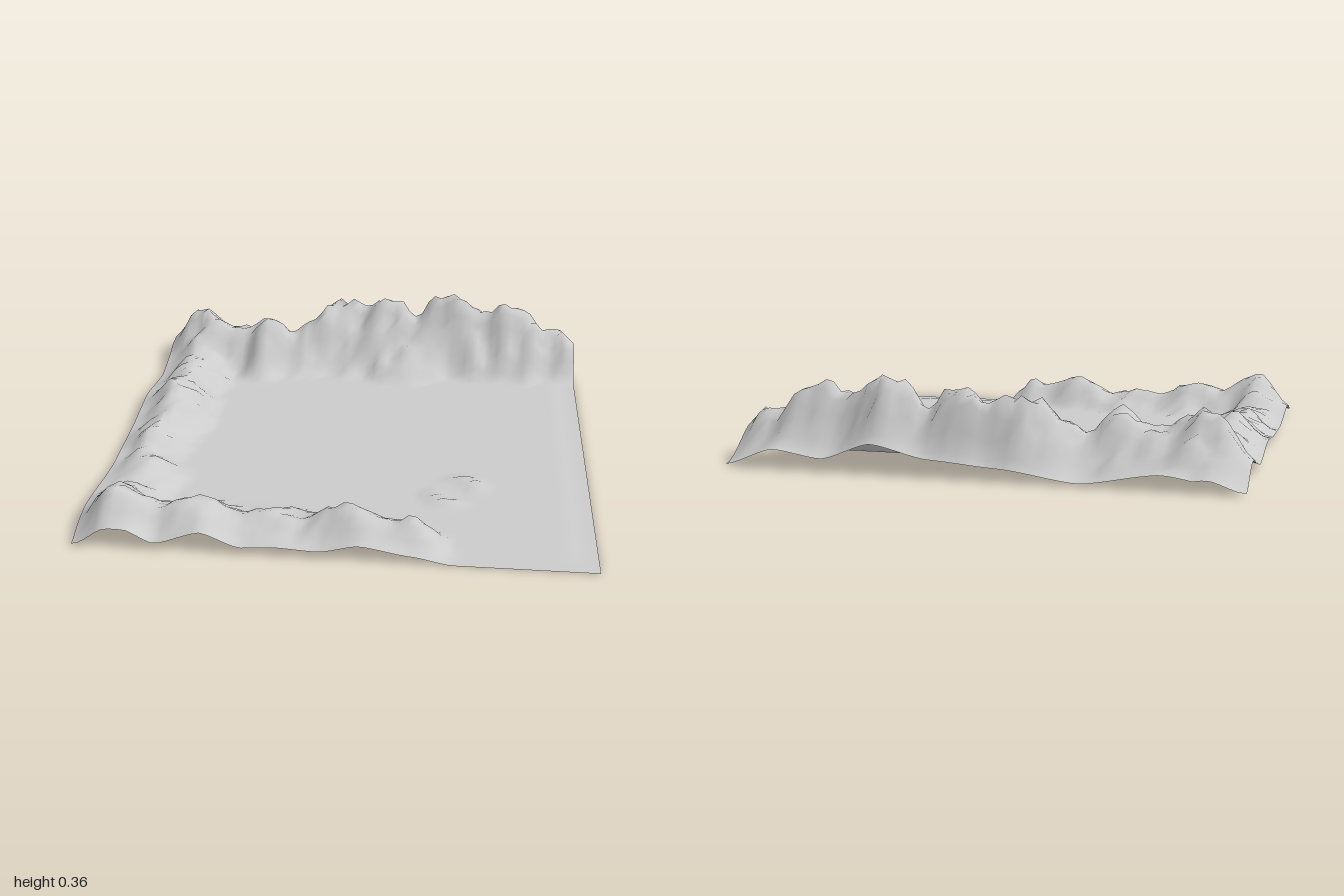
import * as THREE from 'three';

const SEGMENTS = 64;
const FLOOR = 0.006;
const ease = (t) => t * t * (3 - 2 * t);

// Partly eased lookup through a list of [position, value] pairs
function profile(points) {
  return (x) => {
    if (x <= points[0][0]) return points[0][1];
    for (let i = 1; i < points.length; i++) {
      const [x0, y0] = points[i - 1], [x1, y1] = points[i];
      if (x <= x1) {
        const t = (x - x0) / (x1 - x0);
        return y0 + (y1 - y0) * (0.5 * t + 0.5 * ease(t));
      }
    }
    return points[points.length - 1][1];
  };
}

// Smooth seeded value noise in -1..1
function hash(i, j) {
  const s = Math.sin(i * 127.1 + j * 311.7 + 4.3) * 43758.5453;
  return (s - Math.floor(s)) * 2 - 1;
}
function noise(x, y) {
  const i = Math.floor(x), j = Math.floor(y), u = ease(x - i), v = ease(y - j);
  const a = hash(i, j) * (1 - u) + hash(i + 1, j) * u;
  const b = hash(i, j + 1) * (1 - u) + hash(i + 1, j + 1) * u;
  return a * (1 - v) + b * v;
}

// Each ridge follows one border: crest and foot are distances in from that
// border, height is the crest line, edge is the height at the border
const backRidge = {
  height: profile([[-1, 0.09], [-0.87, 0.25], [-0.81, 0.27], [-0.68, 0.19], [-0.6, 0.19], [-0.5, 0.27],
    [-0.38, 0.16], [-0.28, 0.22], [-0.2, 0.32], [-0.12, 0.32], [-0.05, 0.27], [0.03, 0.31], [0.12, 0.33],
    [0.22, 0.26], [0.32, 0.34], [0.4, 0.375], [0.48, 0.32], [0.55, 0.285], [0.67, 0.33], [0.77, 0.28],
    [0.85, 0.21], [0.93, 0.22], [1, 0.15]]),
  crest: profile([[-1, 0.2], [-0.8, 0.25], [-0.5, 0.31], [-0.35, 0.24], [-0.15, 0.15], [0.1, 0.14],
    [0.4, 0.17], [0.7, 0.2], [1, 0.23]]),
  foot: profile([[-1, 0.47], [-0.65, 0.47], [-0.5, 0.53], [-0.35, 0.48], [-0.2, 0.41], [0, 0.45],
    [0.1, 0.5], [0.2, 0.56], [0.32, 0.48], [0.42, 0.42], [0.72, 0.44], [1, 0.38]]),
  edge: profile([[-1, 0.01], [-0.7, 0.06], [-0.4, 0.01], [-0.1, 0.05], [0.17, 0.07], [0.4, 0.12],
    [0.6, 0.05], [0.8, 0.08], [1, 0.01]]),
};
const sideRidge = {
  height: profile([[-1, 0.05], [-0.8, 0.2], [-0.65, 0.18], [-0.55, 0.13], [-0.4, 0.14], [-0.28, 0.12],
    [-0.15, 0.165], [0, 0.135], [0.07, 0.11], [0.15, 0.12], [0.25, 0.115], [0.31, 0.07], [0.4, 0.09],
    [0.5, 0.09], [0.63, 0.07], [0.72, 0.13], [0.86, 0.215], [0.93, 0.17], [1, 0.09]]),
  crest: profile([[-1, 0.15], [-0.4, 0.17], [0, 0.17], [0.3, 0.13], [0.5, 0.17], [1, 0.15]]),
  foot: profile([[-1, 0.35], [-0.4, 0.36], [-0.1, 0.36], [0.15, 0.33], [0.3, 0.3], [0.45, 0.37],
    [0.6, 0.36], [0.75, 0.33], [1, 0.3]]),
  edge: profile([[-1, 0.01], [-0.75, 0.07], [-0.5, 0.02], [-0.2, 0.06], [0.1, 0.03], [0.4, 0.02],
    [0.8, 0.06], [1, 0.01]]),
};
const frontRidge = {
  height: profile([[-1, 0.05], [-0.85, 0.21], [-0.7, 0.12], [-0.5, 0.15], [-0.37, 0.09], [-0.25, 0.11],
    [-0.12, 0.08], [0.03, 0.16], [0.13, 0.14], [0.22, 0.11], [0.3, 0.135], [0.37, 0.08], [0.45, 0]]),
  crest: profile([[-1, 0.14], [-0.3, 0.17], [0, 0.13], [0.44, 0.12]]),
  foot: profile([[-1, 0.32], [-0.6, 0.37], [-0.2, 0.39], [-0.1, 0.33], [0.1, 0.34], [0.3, 0.32], [0.45, 0.2]]),
  edge: profile([[-1, 0.01], [-0.8, 0.09], [-0.68, 0.03], [-0.5, 0.09], [-0.35, 0.03], [-0.22, 0.04],
    [-0.05, 0.03], [0.1, 0.065], [0.3, 0.03], [0.45, 0]]),
};

// Height of a ridge at a distance "inward" from its border
function ridgeHeight(ridge, inward, along, seed) {
  const crest = ridge.crest(along);
  const foot = ridge.foot(along) + 0.015 * noise(along * 14, seed + 5);
  const height = ridge.height(along), edge = Math.min(ridge.edge(along), height);
  if (inward >= foot) return 0;
  if (inward < crest) return edge + (height - edge) * ease(Math.max(0, inward) / crest);
  const t = (inward - crest) / (foot - crest);
  const gully = 1 + 1.4 * t * (1 - t) * noise(along * 12 + inward * 4, inward * 7 + seed);
  return height * (0.6 * (1 - ease(t)) + 0.4 * (1 - t) ** 1.5) * gully;
}

function groundHeight(x, z) {
  // Crags: bend the ridges sideways, less so at the borders
  const calm = Math.min(1, (1 - Math.max(Math.abs(x), Math.abs(z))) * 10);
  const u = x - z, v = x + z;
  const bend = (seed) => calm * (0.022 * noise(u * 6 + seed, v * 9) + 0.016 * noise(u * 12, v * 18 + seed));
  const bx = x + bend(50), bz = z + bend(90);
  const hills = Math.max(
    ridgeHeight(backRidge, bz + 1, x + 0.4 * (bx - x), 3),
    ridgeHeight(sideRidge, bx + 1, z + 0.4 * (bz - z), 17),
    ridgeHeight(frontRidge, 1 - bz, x + 0.4 * (bx - x), 31),
  );
  // Broken rock surface
  const rough = 0.97 + 0.1 * calm * noise(u * 14 + 40, v * 22);
  // Small broken ring of mounds on the plain
  const dx = x - 0.45, dz = z - 0.47;
  const ring = Math.exp(-(((Math.hypot(dx, dz) - 0.1) / 0.025) ** 2));
  const mound = 0.026 * ring * Math.max(0, 0.45 + 0.55 * Math.cos(Math.atan2(dz, dx) * 2 - 4.4));
  // Shallow step down toward the open borders
  const step = FLOOR * ease(THREE.MathUtils.clamp((0.95 - Math.max(x, z)) / 0.06, 0, 1));
  return Math.max(step, hills * rough) + mound;
}

export function createModel() {
  const group = new THREE.Group();
  group.name = 'valley';

  // Plain ringed by mountains on three borders
  const geometry = new THREE.PlaneGeometry(2, 2, SEGMENTS, SEGMENTS).rotateX(-Math.PI / 2);
  const position = geometry.attributes.position;
  for (let i = 0; i < position.count; i++) {
    position.setY(i, groundHeight(position.getX(i), position.getZ(i)));
  }
  geometry.computeVertexNormals();

  const terrain = new THREE.Mesh(
    geometry,
    new THREE.MeshStandardMaterial({ color: 0xcccccc, side: THREE.DoubleSide }),
  );
  terrain.name = 'terrain';
  group.add(terrain);
  return group;
}
